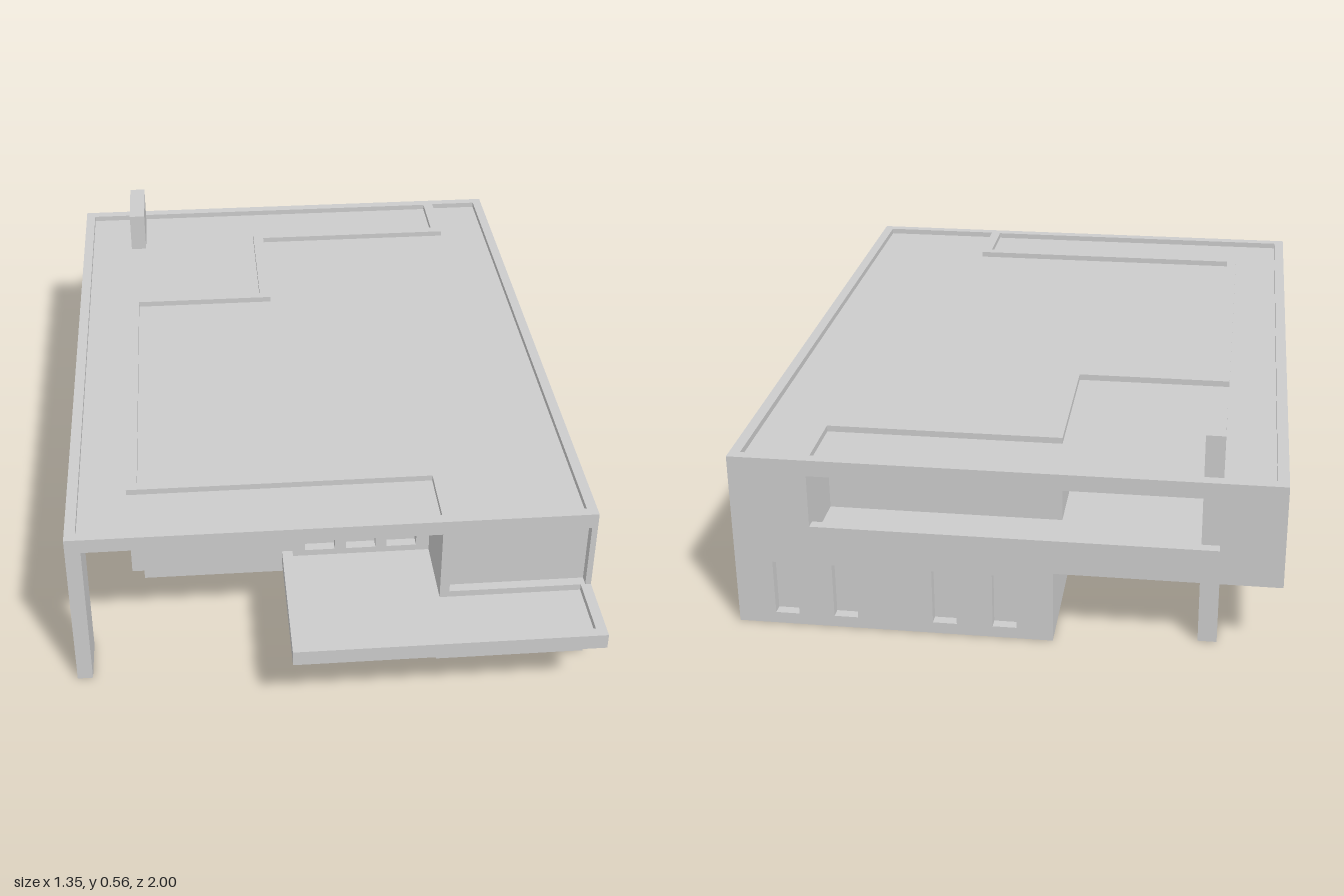
import * as THREE from 'three';

export function createModel() {
  const house = new THREE.Group();
  house.name = 'house';
  const concrete = new THREE.MeshStandardMaterial({ color: 0xcccccc, side: THREE.DoubleSide });
  concrete.name = 'concrete grey';
  const T = 0.027; // parapet thickness and window recess

  const add = (name, geometry, parent = house) => {
    const mesh = new THREE.Mesh(geometry, concrete);
    mesh.name = name;
    parent.add(mesh);
    return mesh;
  };

  const box = (name, x0, x1, y0, y1, z0, z1) => {
    const mesh = add(name, new THREE.BoxGeometry(x1 - x0, y1 - y0, z1 - z0));
    mesh.position.set((x0 + x1) / 2, (y0 + y1) / 2, (z0 + z1) / 2);
  };

  // horizontal plate from an [x, z] outline, with optional holes
  const plate = (name, outline, y0, y1, holes = []) => {
    const points = (list) => list.map(([x, z]) => new THREE.Vector2(x, -z));
    const shape = new THREE.Shape(points(outline));
    holes.forEach((h) => shape.holes.push(new THREE.Path(points(h))));
    const geo = new THREE.ExtrudeGeometry(shape, { depth: y1 - y0, bevelEnabled: false });
    geo.rotateX(-Math.PI / 2);
    add(name, geo).position.y = y0;
  };

  const rect = (x0, x1, z0, z1) => [[x0, z0], [x1, z0], [x1, z1], [x0, z1]];

  // wall running left to right as seen from outside; openings are [s0, s1, y0, y1]
  const wallShape = (name, [ax, az], [bx, bz], y0, y1, openings) => {
    const group = new THREE.Group();
    group.name = name;
    group.position.set(ax, 0, az);
    group.rotation.y = Math.atan2(az - bz, bx - ax);
    house.add(group);
    const outline = (s0, s1, b, t) =>
      [[s0, b], [s1, b], [s1, t], [s0, t]].map(([s, y]) => new THREE.Vector2(s, y));
    const shape = new THREE.Shape(outline(0, Math.hypot(bx - ax, bz - az), y0, y1));
    openings.forEach((o) => shape.holes.push(new THREE.Path(outline(...o))));
    return { group, shape };
  };

  // thin skin with recessed window boxes, open to the outside
  const wall = (name, a, b, y0, y1, openings = []) => {
    const { group, shape } = wallShape(name, a, b, y0, y1, openings);
    add('wallSkin', new THREE.ShapeGeometry(shape), group);
    for (const [s0, s1, low, high] of openings) {
      const geo = new THREE.BoxGeometry(s1 - s0, high - low, T);
      const index = Array.from(geo.index.array);
      index.splice(24, 6); // drop the outer face
      geo.setIndex(index);
      geo.clearGroups();
      add('windowRecess', geo, group).position.set((s0 + s1) / 2, (low + high) / 2, -T / 2);
    }
  };

  // thick wall, its openings left empty
  const thickWall = (name, a, b, y0, y1, openings = []) => {
    const { group, shape } = wallShape(name, a, b, y0, y1, openings);
    const geo = new THREE.ExtrudeGeometry(shape, { depth: T, bevelEnabled: false });
    add('wallPanel', geo, group).position.z = -T;
  };

  // roof slab with two shallow sunken fields
  plate('roofSlab', rect(-0.675, 0.675, -1, 0.8), 0.42, 0.444);
  plate('roofRim', rect(-0.675, 0.675, -1, 0.8), 0.444, 0.46, [
    [[-0.647, -0.97], [0.476, -0.97], [0.476, -0.8], [-0.12, -0.8], [-0.12, -0.4], [-0.523, -0.4],
      [-0.523, 0.6], [0.277, 0.6], [0.277, 0.77], [-0.647, 0.77]],
    [[0.507, -0.973], [0.648, -0.973], [0.648, 0.773], [0.305, 0.773], [0.305, 0.57], [-0.495, 0.57],
      [-0.495, -0.375], [-0.088, -0.375], [-0.088, -0.77], [0.507, -0.77]],
  ]);

  // upper floor, leaving a double-height entrance hall open at the front
  plate('terraceFloor', [[-0.675, -1], [-0.12, -1], [-0.12, 0.6], [-0.522, 0.6],
    [-0.522, 0.4], [-0.675, 0.4]], 0.19, 0.23);
  plate('innerFloor', rect(-0.12, 0.675, -1, 0.18), 0.225, 0.23);

  // front balcony tray
  plate('balconySlab', [[-0.12, 0.4], [0.277, 0.4], [0.277, 0.8], [0.675, 0.8],
    [0.675, 1], [-0.12, 1]], 0.19, 0.214);
  plate('balconyRim', [[-0.12, 0.6], [-0.092, 0.6], [-0.092, 0.972], [0.648, 0.972],
    [0.648, 0.8], [0.675, 0.8], [0.675, 1], [-0.12, 1]], 0.214, 0.232);

  // chimney and corner pillar
  box('chimney', -0.522, -0.475, 0, 0.562, -0.957, -0.757);
  box('cornerPillar', -0.675, -0.635, 0, 0.42, 0.67, 0.8);

  // full-height walls
  wall('rightWall', [0.675, 0.8], [0.675, -1], 0, 0.42,
    [[0.45, 0.755, 0.235, 0.416], [1.245, 1.555, 0.235, 0.416]]);
  wall('frontWingWall', [0.277, 0.8], [0.675, 0.8], 0, 0.42,
    [[0.05, 0.36, 0.058, 0.145], [0.025, 0.383, 0.232, 0.418]]);
  wall('frontWingSide', [0.277, 0.6], [0.277, 0.8], 0, 0.42);
  wall('backRecessWall', [-0.12, -0.4], [-0.522, -0.4], 0, 0.42);

  // ground floor
  const slits = [0.095, 0.245, 0.495, 0.645].map((s) => [s, s + 0.06, 0.03, 0.175]);
  wall('backGroundWall', [0.675, -1], [-0.12, -1], 0, 0.19, slits);
  wall('groundSideWall', [-0.12, -1], [-0.12, -0.4], 0, 0.225);
  wall('groundLeftWall', [-0.522, -0.4], [-0.522, 0.2], 0, 0.19);
  wall('cornerReturn', [-0.522, 0.2], [-0.5, 0.2], 0, 0.19);
  wall('cornerGlazingSide', [-0.5, 0.2], [-0.5, 0.4], 0, 0.19);
  wall('cornerGlazingFront', [-0.5, 0.4], [-0.12, 0.4], 0, 0.19);
  wall('entranceWall', [-0.12, 0.4], [0.277, 0.4], 0, 0.19, [[0.227, 0.36, 0.002, 0.166]]);
  wall('entranceSide', [0.277, 0.4], [0.277, 0.6], 0, 0.19);

  // upper floor
  thickWall('backUpperWall', [0.675, -1], [-0.675, -1], 0.19, 0.42, [[0.195, 1.195, 0.28, 0.418]]);
  const frontWindows = [0.464, 0.574, 0.684].map((s) => [s, s + 0.08, 0.232, 0.418]);
  wall('upperFrontWall', [-0.522, 0.6], [0.277, 0.6], 0.19, 0.42, frontWindows);
  wall('upperLeftWall', [-0.522, -0.4], [-0.522, 0.6], 0.19, 0.42);
  wall('terraceSideWall', [-0.12, -0.8], [-0.12, -0.4], 0.19, 0.42);
  wall('terraceBackWall', [0.48, -0.8], [-0.12, -0.8], 0.225, 0.42);
  wall('terraceEndWall', [0.48, -1], [0.48, -0.8], 0.225, 0.42);

  // terrace parapets
  thickWall('parapetLeft', [-0.675, -1], [-0.675, 0.4], 0.19, 0.28);
  thickWall('parapetFront', [-0.675, 0.4], [-0.522, 0.4], 0.19, 0.28);

  return house;
}
